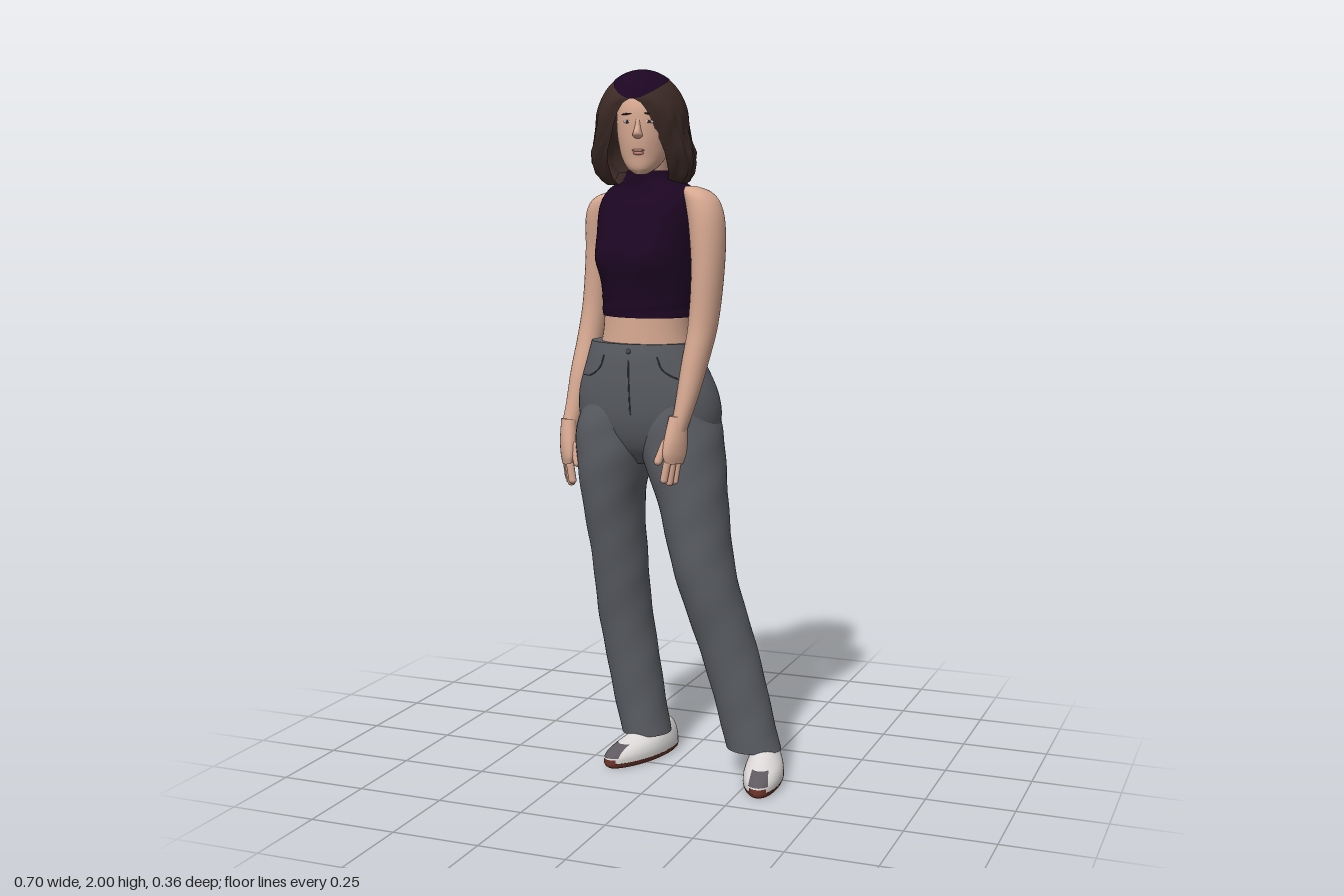
import * as THREE from 'three';

const TAU = Math.PI * 2, FRONT = Math.PI / 2;
const flat = (name, color) => {
  const m = new THREE.MeshStandardMaterial({ color, side: THREE.DoubleSide });
  m.name = name;
  return m;
};
const bump = (d, w) => Math.exp(-((d / w) ** 2));

// Cross-section between rows [y, cx, cz, rx, rz, yaw], smoothly interpolated
function between(rows, i, t) {
  const a = rows[i], b = rows[i + 1], h = b[0] - a[0];
  const p = rows[Math.max(i - 1, 0)], q = rows[Math.min(i + 2, rows.length - 1)];
  return a.map((v, k) => {
    if (k === 0) return v + h * t;
    const m0 = (b[k] - p[k]) / (b[0] - p[0]) * h, m1 = (q[k] - v) / (q[0] - a[0]) * h;
    const t2 = t * t, t3 = t2 * t;
    return (2 * t3 - 3 * t2 + 1) * v + (t3 - 2 * t2 + t) * m0 + (3 * t2 - 2 * t3) * b[k] + (t3 - t2) * m1;
  });
}

function rowAt(rows, y) {
  const i = Math.max(0, Math.min(rows.length - 2, rows.findIndex(r => r[0] > y) - 1));
  return between(rows, i, (y - rows[i][0]) / (rows[i + 1][0] - rows[i][0]));
}

function ringPoint([y, cx, cz, rx, rz, yaw = 0], a, s = 1) {
  const lx = rx * Math.cos(a) * s, lz = rz * Math.sin(a) * s, c = Math.cos(yaw), n = Math.sin(yaw);
  return new THREE.Vector3(cx + lx * c - lz * n, y, cz + lx * n + lz * c);
}

// Skin a stack of elliptical sections; f scales the radius, range opens the ring
function loft(name, mat, rows, { n = 40, sub = 5, f = () => 1, range = null, caps = true } = {}) {
  const rings = [];
  for (let i = 0; i < rows.length - 1; i++)
    for (let k = 0; k < sub; k++) rings.push(between(rows, i, k / sub));
  rings.push(rows[rows.length - 1]);
  const pos = [], idx = [], cols = range ? n + 1 : n;
  for (const r of rings) {
    const [a0, a1] = range ? range(r[0]) : [0, TAU];
    for (let j = 0; j < cols; j++) {
      const a = a0 + (a1 - a0) * j / n;
      pos.push(...ringPoint(r, a, f(a, r[0])).toArray());
    }
  }
  for (let i = 0; i < rings.length - 1; i++)
    for (let j = 0; j < n; j++) {
      const a = i * cols + j, c = i * cols + (j + 1) % cols;
      idx.push(a, a + cols, c, c, a + cols, c + cols);
    }
  if (caps && !range) for (const e of [0, rings.length - 1]) {
    const r = rings[e], base = pos.length / 3;
    pos.push(...pos.slice(e * cols * 3, (e + 1) * cols * 3), r[1], r[0], r[2]);
    for (let j = 0; j < n; j++) {
      const u = base + j, v = base + (j + 1) % n;
      idx.push(...(e ? [v, u, base + n] : [u, v, base + n]));
    }
  }
  const g = new THREE.BufferGeometry();
  g.setAttribute('position', new THREE.Float32BufferAttribute(pos, 3));
  g.setIndex(idx);
  g.computeVertexNormals();
  return part(name, g, mat);
}

function part(name, geo, mat, p = [0, 0, 0], s = [1, 1, 1], r = [0, 0, 0]) {
  const m = new THREE.Mesh(geo, mat);
  m.name = name;
  m.position.set(...p); m.scale.set(...s); m.rotation.set(...r);
  return m;
}

export function createModel() {
  const root = new THREE.Group();
  root.name = 'standingWoman';
  const skin = flat('skin', 0xd6a891), hair = flat('hair', 0x3c2a26), knit = flat('knit', 0x1c0622);
  const denim = flat('denim', 0x5a5d63), seam = flat('seam', 0x484b51), white = flat('shoeWhite', 0xdcd8d8);
  const grey = flat('shoeGrey', 0x5f5a60), rubber = flat('rubber', 0x6b3428);
  const lip = flat('lip', 0xbd8075), dark = flat('eye', 0x3a2e2c);
  const ball = new THREE.SphereGeometry(1, 16, 12);

  // Trousers: hips, two legs, stitched details
  const hips = [[.9, -.08, -.008, .13, .06], [.95, -.08, -.014, .18, .108], [1.02, -.08, -.02, .21, .141],
    [1.1, -.081, -.01, .207, .142], [1.2, -.083, .008, .171, .126], [1.248, -.083, .011, .156, .119]];
  const folds = (a, y) => 1 + .018 * Math.sin(y * 34 + a * 2) * Math.sin(y * 13 + a);
  root.add(loft('trouserHips', denim, hips, { n: 56 }));
  root.add(loft('rightTrouserLeg', denim, [[.07, -.12, -.085, .073, .075], [.2, -.143, -.08, .077, .075],
    [.4, -.17, -.06, .08, .08], [.6, -.18, -.03, .08, .09], [.8, -.19, -.01, .09, .112],
    [.93, -.182, -.01, .114, .13], [1.01, -.174, -.016, .118, .136], [1.09, -.16, -.012, .1, .122]], { sub: 8, f: folds }));
  root.add(loft('leftTrouserLeg', denim, [[.08, .24, -.018, .08, .068], [.2, .21, -.018, .08, .073],
    [.4, .155, -.008, .085, .083], [.6, .098, .012, .088, .097], [.8, .06, .003, .1, .113],
    [.93, .024, -.008, .12, .13], [1.01, .01, -.016, .121, .136], [1.09, 0, -.012, .1, .122]], { sub: 8, f: folds }));
  const stitch = (name, pts) => root.add(part(name, new THREE.TubeGeometry(new THREE.CatmullRomCurve3(
    pts.map(([a, y]) => ringPoint(rowAt(hips, y), a, 1.001))), 48, .002, 5), seam));
  for (const s of [-1, 1]) {
    stitch('frontPocketSeam', [[.5, 1.215], [.55, 1.18], [.75, 1.155], [1.02, 1.15]].map(([d, y]) => [FRONT + s * d, y]));
    stitch('backYokeSeam', [[.05, 1.09], [.3, 1.094], [.6, 1.1], [.9, 1.11], [1.1, 1.12]].map(([d, y]) => [-FRONT + s * d, y]));
  }
  stitch('flySeam', [[FRONT, 1.205], [FRONT, 1.16], [FRONT, 1.1], [FRONT, 1.05]]);
  root.add(part('waistButton', ball, seam, ringPoint(rowAt(hips, 1.228), FRONT, 1.01).toArray(), [.007, .007, .004]));

  // Midriff, neck and sleeveless cropped top with a squarer back
  root.add(loft('midriff', skin, [[1.19, -.082, .01, .145, .11, .1], [1.28, -.077, .008, .129, .108, .15],
    [1.37, -.076, .003, .13, .108, .25]]));
  root.add(loft('neck', skin, [[1.66, -.08, -.03, .055, .058], [1.72, -.077, -.015, .052, .055],
    [1.79, -.075, 0, .055, .06]]));
  const cloth = (a, y) => {
    const c = Math.abs(Math.cos(a)), s = Math.abs(Math.sin(a));
    const square = (c ** 4 + s ** 4) ** -.25 - 1;
    const fold = .012 * bump(y - 1.34, .04) * Math.sin(y * 190 + a * 2);
    const bust = .13 * bump(y - 1.475, .055) * (bump(a - FRONT - .45, .42) + bump(a - FRONT + .45, .42));
    return (1 + square * (Math.sin(a) < 0 ? .95 : .3) * bump(y - 1.58, .13)) * (1 + bust + fold);
  };
  root.add(loft('croppedTop', knit, [[1.32, -.074, 0, .137, .118, .2], [1.37, -.075, -.002, .138, .121, .26],
    [1.44, -.075, -.008, .144, .128, .32], [1.5, -.078, -.01, .148, .13, .34], [1.56, -.081, -.02, .153, .124, .34],
    [1.62, -.083, -.032, .158, .112, .34], [1.65, -.083, -.037, .153, .098, .34], [1.672, -.083, -.036, .134, .086, .34],
    [1.69, -.081, -.031, .1, .079, .3], [1.705, -.079, -.024, .076, .073, .2],
    [1.724, -.077, -.02, .064, .068, .1]], { n: 64, f: cloth }));

  // Arms
  root.add(loft('rightArm', skin, [[.97, -.327, .005, .024, .028], [1.05, -.315, -.02, .028, .032],
    [1.15, -.303, -.05, .035, .042], [1.25, -.292, -.085, .038, .047], [1.35, -.28, -.098, .039, .046],
    [1.5, -.265, -.097, .043, .05], [1.58, -.258, -.091, .047, .055], [1.625, -.248, -.087, .044, .053],
    [1.65, -.234, -.084, .033, .042], [1.664, -.218, -.08, .012, .016]], { n: 24 }));
  root.add(loft('leftArm', skin, [[1.01, .057, .108, .022, .029], [1.1, .075, .09, .03, .035],
    [1.2, .09, .065, .037, .045], [1.3, .105, .045, .041, .05], [1.45, .115, .035, .045, .057],
    [1.57, .11, .027, .05, .06], [1.635, .096, .022, .048, .056], [1.668, .076, .018, .036, .044],
    [1.682, .056, .014, .014, .018]], { n: 24 }));

  // Hands: palm, four hanging fingers and a thumb
  for (const [name, p, yaw, side] of [['rightHand', [-.324, .99, .01], .6, -1], ['leftHand', [.054, 1.03, .113], -.45, 1]]) {
    const hand = new THREE.Group();
    hand.name = name;
    hand.position.set(...p);
    hand.rotation.set(-.08, yaw, 0);
    hand.scale.set(1.2, 1.05, 1.1);
    hand.add(loft('palm', skin, [[-.105, 0, .002, .012, .034], [-.08, 0, .003, .017, .04],
      [-.04, 0, .002, .02, .036], [.02, 0, -.002, .018, .024]], { n: 20 }));
    for (let i = 0; i < 4; i++)
      hand.add(part('finger', new THREE.CapsuleGeometry(.0095, .052 - .007 * Math.abs(i - 1.3), 4, 10), skin,
        [-side * .005, -.132 + .004 * Math.abs(i - 1.3), .03 - i * .019], [1, 1, 1], [.03 * (i - 1.5), 0, -side * .15]));
    hand.add(part('thumb', new THREE.CapsuleGeometry(.0105, .052, 4, 10), skin,
      [-side * .014, -.075, .036], [1, 1, 1], [-.3, 0, -side * .15]));
    root.add(hand);
  }

  // Shoes: rubber sole and toe bumper, white upper, grey toe patch, narrower heel
  for (const [name, p, yaw] of [['rightShoe', [-.117, 0, -.043], -.36], ['leftShoe', [.287, 0, .028], .2]]) {
    const shoe = new THREE.Group();
    shoe.name = name;
    shoe.position.set(...p);
    shoe.rotation.y = yaw;
    const upper = [[.014, 0, 0, .056, .15], [.034, 0, -.002, .056, .147], [.052, 0, -.014, .051, .132],
      [.07, -.002, -.042, .043, .1], [.088, -.006, -.062, .036, .07], [.1, -.008, -.066, .028, .05]];
    const foot = a => 1 - .1 * Math.max(0, -Math.sin(a)) * Math.cos(a) ** 2;
    shoe.add(loft('sole', rubber, [[0, 0, 0, .047, .14], [.006, 0, 0, .053, .148], [.016, 0, 0, .057, .151]], { f: foot }));
    shoe.add(loft('upper', white, upper, { f: foot }));
    const wrap = (label, mat, y0, y1, w) => shoe.add(loft(label, mat,
      [0, .25, .5, .75, 1].map(t => rowAt(upper, y0 + (y1 - y0) * t)),
      { n: 20, sub: 2, f: () => 1.022, range: () => [FRONT - w, FRONT + w] }));
    wrap('toeBumper', rubber, .0145, .028, .42);
    wrap('toePatch', grey, .032, .061, .5);
    root.add(shoe);
  }

  // Head and face, turned slightly to the left
  const head = new THREE.Group();
  head.name = 'head';
  head.position.x = -.08;
  head.rotation.y = .17;
  head.add(loft('face', skin, [[1.714, 0, .078, .016, .018], [1.73, 0, .062, .04, .044], [1.76, 0, .04, .061, .07],
    [1.79, 0, .025, .071, .09], [1.82, 0, .02, .077, .097], [1.86, 0, .015, .08, .102], [1.9, 0, .008, .077, .104],
    [1.94, 0, 0, .064, .088], [1.97, 0, 0, .03, .04]], { sub: 4 }));
  head.add(loft('nose', skin, [[1.811, 0, .11, .008, .009], [1.819, 0, .117, .014, .018], [1.829, 0, .118, .011, .019],
    [1.845, 0, .113, .008, .012], [1.865, 0, .109, .007, .008]], { n: 16 }));
  for (const s of [-1, 1]) {
    head.add(part('eyeWhite', ball, white, [s * .031, 1.856, .1085], [.012, .0045, .003], [0, s * .3, 0]));
    head.add(part('iris', ball, dark, [s * .031, 1.856, .111], [.0045, .0045, .0015], [0, s * .3, 0]));
    head.add(part('eyebrow', ball, hair, [s * .032, 1.877, .108], [.017, .0025, .003], [0, s * .3, -s * .1]));
  }
  head.add(part('upperLip', ball, lip, [0, 1.779, .111], [.018, .004, .006]));
  head.add(part('lowerLip', ball, lip, [0, 1.771, .11], [.015, .005, .006]));
  root.add(head);

  // Wavy bob parted over the face, its ends curling under
  const C = [-.092, 1.85, .002], R = [.128, .15, .143], mid = FRONT - .16;
  const bob = [[1.72, C[0], -.014, .07, .07], [1.694, C[0], -.016, .09, .09], [1.684, C[0], -.018, .11, .104],
    [1.695, C[0], -.015, .126, .118], [1.715, -.093, -.013, .137, .133], [1.745, -.095, -.011, .146, .145],
    [1.775, -.095, -.009, .145, .148], [1.8, -.094, -.005, .137, .146], [1.825, -.093, -.001, .131, .144]];
  for (let k = 0; k <= 16; k++) {
    const t = k / 16 * Math.PI / 2, c = Math.max(Math.cos(t), .002);
    bob.push([C[1] + R[1] * Math.sin(t), C[0], C[2], R[0] * c, R[2] * c]);
  }
  const opening = y => y > 1.92 ? 0 : y > 1.84 ? .56 * Math.sqrt((1.92 - y) / .08) : .56 + (1.84 - y) * 3.2;
  const waves = (a, y) => {
    const open = opening(y), d = Math.min(a - mid - open, mid + TAU - open - a);
    const low = THREE.MathUtils.clamp((1.93 - y) / .2, 0, 1);
    const tuck = .15 * Math.min(1, open / .5) + .3 * Math.max(0, open - .56);
    return (1 - tuck * bump(d, .25))
      * (1 + low * (.026 * Math.sin(17 * a + 40 * y) + .02 * Math.sin(29 * a - 60 * y)));
  };
  root.add(loft('hair', hair, bob, { n: 130, sub: 1, f: waves, range: y => [mid + opening(y), mid + TAU - opening(y)] }));

  // Dark patch lying over the crown
  const patch = loft('crownPatch', knit, Array.from({ length: 10 }, (_, k) =>
    [k, -.082, .032, .073 * (1 - k / 9), .099 * (1 - k / 9)]), { sub: 1, caps: false });
  const pos = patch.geometry.attributes.position;
  for (let i = 0; i < pos.count; i++) {
    const u = (pos.getX(i) - C[0]) / (R[0] * 1.015), v = (pos.getZ(i) - C[2]) / (R[2] * 1.015);
    pos.setY(i, C[1] + R[1] * 1.008 * Math.sqrt(Math.max(0, 1 - u * u - v * v)));
  }
  patch.geometry.computeVertexNormals();
  root.add(patch);
  return root;
}
